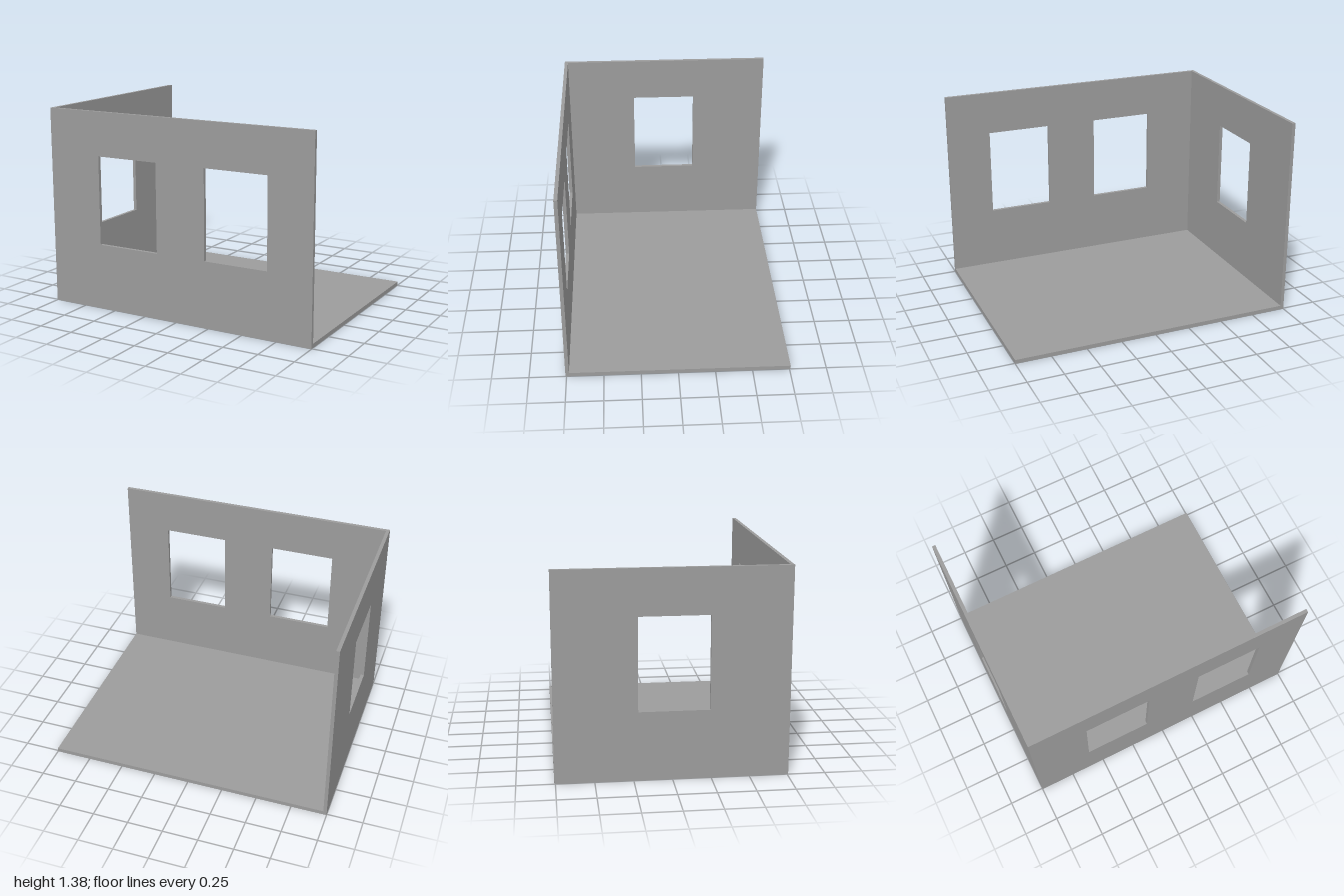
import * as THREE from 'three';

const W = 2, D = 1.514, H = 1.383; // overall size
const WALL = 0.024, FLOOR = 0.028; // thicknesses
const SILL = 0.46, LINTEL = 1.078; // window bottom and top

function rect(path, x0, y0, x1, y1) {
  path.moveTo(x0, y0);
  path.lineTo(x1, y0);
  path.lineTo(x1, y1);
  path.lineTo(x0, y1);
  path.closePath();
  return path;
}

// Upright panel from u0 to u1 with window openings given as [start, end]
function wall(name, u0, u1, windows, material) {
  const shape = rect(new THREE.Shape(), u0, 0, u1, H);
  for (const [a, b] of windows) shape.holes.push(rect(new THREE.Path(), a, SILL, b, LINTEL));
  const geometry = new THREE.ExtrudeGeometry(shape, { depth: WALL, bevelEnabled: false });
  const mesh = new THREE.Mesh(geometry, material);
  mesh.name = name;
  return mesh;
}

export function createModel() {
  const group = new THREE.Group();
  group.name = 'openRoom';
  const material = new THREE.MeshStandardMaterial({ color: 0x9c9c9c });

  // Floor slab, fitted inside the two walls
  const floor = new THREE.Mesh(new THREE.BoxGeometry(W - WALL, FLOOR, D - WALL), material);
  floor.name = 'floor';
  floor.position.set(WALL / 2, FLOOR / 2, -WALL / 2);

  // Front wall with two windows
  const frontWall = wall('frontWall', -W / 2, W / 2, [[-0.605, -0.145], [0.223, 0.683]], material);
  frontWall.position.z = D / 2 - WALL;

  // Side wall with one window, turned so its length runs along z
  const sideWall = wall('sideWall', -D / 2, D / 2 - WALL, [[-0.22, 0.24]], material);
  sideWall.rotation.y = -Math.PI / 2;
  sideWall.position.x = -W / 2 + WALL;

  group.add(floor, frontWall, sideWall);
  return group;
}
